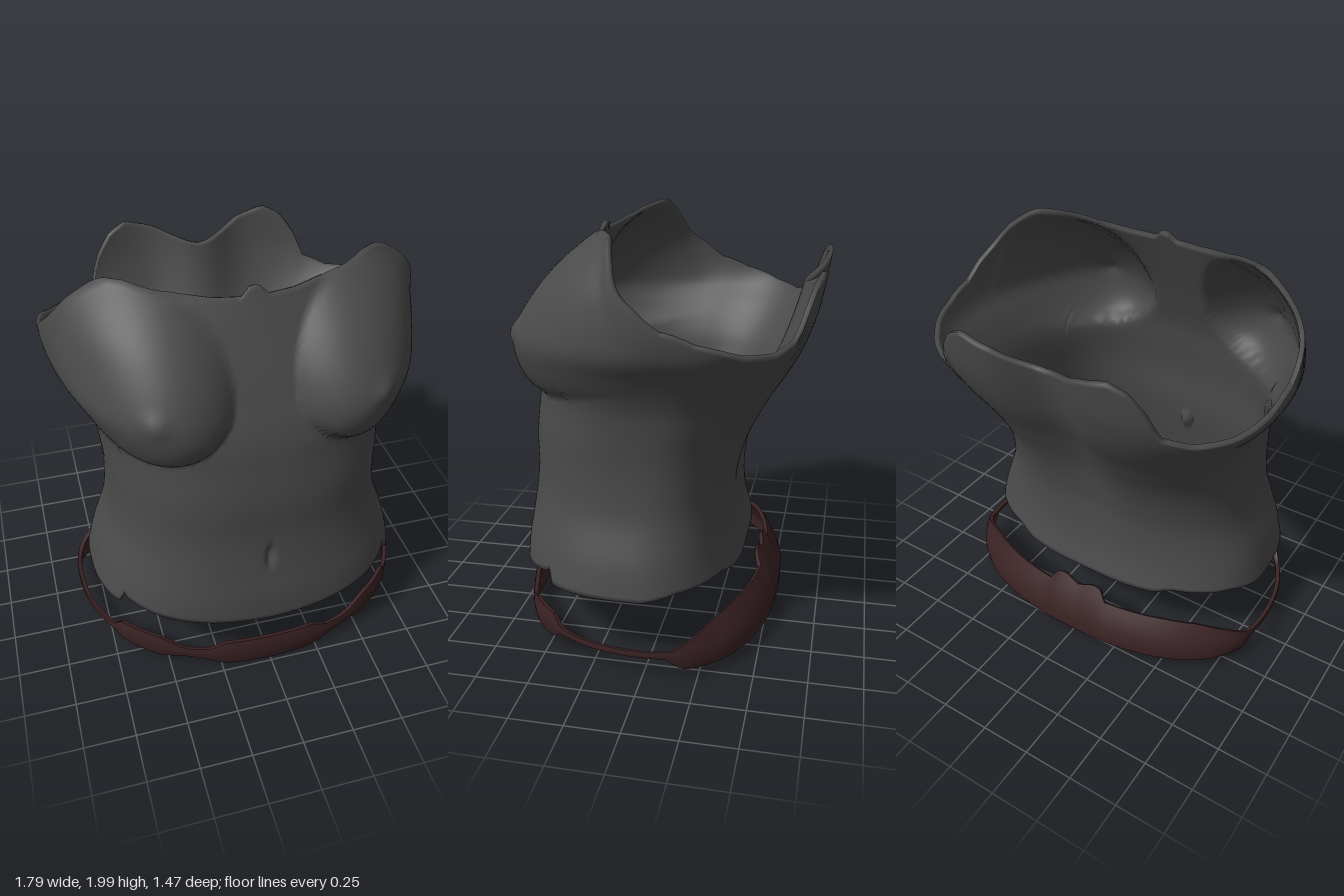
import * as THREE from 'three';
import { toCreasedNormals } from 'three/addons/utils/BufferGeometryUtils.js';

const DEG = Math.PI / 180;

// Interpolates [position, value] pairs, straight or with smooth tangents
function curve(pts, smooth = true) {
  const n = pts.length - 1;
  const slope = (i) => {
    const a = pts[Math.max(i - 1, 0)], b = pts[Math.min(i + 1, n)];
    return (b[1] - a[1]) / (b[0] - a[0]);
  };
  return (t) => {
    if (t <= pts[0][0]) return pts[0][1];
    if (t >= pts[n][0]) return pts[n][1];
    let i = 0;
    while (t > pts[i + 1][0]) i++;
    const [x0, y0] = pts[i], [x1, y1] = pts[i + 1], h = x1 - x0, s = (t - x0) / h;
    if (!smooth) return y0 + (y1 - y0) * s;
    const s2 = s * s, s3 = s2 * s;
    return y0 * (2 * s3 - 3 * s2 + 1) + h * slope(i) * (s3 - 2 * s2 + s)
      + y1 * (3 * s2 - 2 * s3) + h * slope(i + 1) * (s3 - s2);
  };
}

// Signed power, for squarish rounded cross-sections
const spow = (v, e) => Math.sign(v) * Math.pow(Math.abs(v), e);

// Grid of points closed around the body; optionally closed in the row direction too
function gridGeometry(rows, closeRows) {
  const cols = rows[0].length, pos = [], index = [];
  rows.forEach((r) => r.forEach((p) => pos.push(p.x, p.y, p.z)));
  const last = closeRows ? rows.length : rows.length - 1;
  for (let j = 0; j < last; j++) {
    const k = (j + 1) % rows.length;
    for (let i = 0; i < cols; i++) {
      const m = (i + 1) % cols;
      const a = j * cols + i, b = j * cols + m, c = k * cols + m, d = k * cols + i;
      index.push(a, b, c, a, c, d);
    }
  }
  const g = new THREE.BufferGeometry();
  g.setAttribute('position', new THREE.Float32BufferAttribute(pos, 3));
  g.setIndex(index);
  g.computeVertexNormals();
  return g;
}

// Wall with thickness made from an outer surface point(angle, v)
function wallGeometry(point, angles, rowCount, thickness) {
  const outer = [];
  for (let j = 0; j <= rowCount; j++) outer.push(angles.map((a) => point(a, j / rowCount)));
  const normals = gridGeometry(outer, false).attributes.normal;
  const inner = outer.map((row, j) => row.map((p, i) => {
    const n = new THREE.Vector3().fromBufferAttribute(normals, j * angles.length + i);
    return p.clone().addScaledVector(n, -thickness);
  }));
  return gridGeometry([...outer, ...inner.reverse()], true);
}

// Angles round the body, 0 at the front, closer together at front, sides and back
function ringAngles(count, cluster) {
  return Array.from({ length: count }, (_, i) => {
    const t = (i / count) * Math.PI * 2;
    return t - (cluster * Math.sin(4 * t)) / 4;
  });
}
const foldedDegrees = (a) => Math.acos(Math.max(-1, Math.min(1, Math.cos(a)))) / DEG;

// Torso outlines by height
const halfWidth = curve([[0.34, 0.805], [0.5, 0.765], [0.7, 0.695], [0.85, 0.675], [1, 0.675], [1.2, 0.7],
  [1.3, 0.735], [1.4, 0.79], [1.5, 0.86], [1.6, 0.89], [1.7, 0.89], [1.8, 0.87], [2, 0.82]]);
const frontZ = curve([[0.32, 0.735], [0.45, 0.725], [0.6, 0.7], [0.8, 0.675], [1, 0.67], [1.2, 0.645],
  [1.3, 0.63], [1.4, 0.6], [1.5, 0.56], [1.6, 0.52], [1.8, 0.43], [2, 0.34]]);
const backZ = curve([[0.34, -0.385], [0.5, -0.345], [0.65, -0.335], [0.8, -0.35], [1, -0.41], [1.2, -0.51],
  [1.4, -0.625], [1.6, -0.7], [1.82, -0.75]]);
const middleZ = curve([[0.34, 0.1], [1, 0.08], [1.2, 0], [1.5, -0.1], [1.6, -0.12], [1.8, 0], [2, 0]]);
const frontPower = curve([[0.4, 0.8], [1.5, 0.82], [1.75, 1], [2, 1.25]]);
const backPower = curve([[0.4, 0.82], [1, 0.8], [1.6, 0.7]]);

// Cut edges by angle from the front
const topEdge = curve([[0, 1.965], [3, 1.96], [6, 1.925], [16, 1.93], [34, 1.965], [45, 1.995], [52, 2], [56, 1.985],
  [67, 1.9], [78, 1.79], [85, 1.73], [90, 1.65], [96, 1.6], [116, 1.54], [135, 1.52], [148, 1.56],
  [152, 1.68], [157, 1.78], [163, 1.82], [172, 1.78], [180, 1.7]], false);
const bottomEdge = curve([[0, 0.32], [17, 0.34], [40, 0.375], [55, 0.41], [58, 0.43], [60, 0.36], [97, 0.36],
  [116, 0.39], [148, 0.39], [156, 0.36], [180, 0.345]], false);

const bell = (d) => Math.exp(-d * d);

function torsoPoint(a, v) {
  const deg = foldedDegrees(a);
  const y = THREE.MathUtils.lerp(bottomEdge(deg), topEdge(deg), v);
  const s = Math.sin(a), c = Math.cos(a), isFront = c > 0;
  const e = isFront ? frontPower(y) : backPower(y);
  const mid = middleZ(y);
  const x = halfWidth(y) * spow(s, e);
  let z = mid + (isFront ? frontZ(y) - mid : mid - backZ(y)) * spow(c, e);
  if (isFront) {
    // Rounded chest forms with a crease below, plus a small raised boss
    const ax = Math.abs(x), dx = (ax - 0.5) / 0.36;
    const dy = (y - 1.54) / (y > 1.54 ? 0.45 : 0.295);
    const q = 1 - dx * dx - dy * dy;
    if (q > 0) z += 0.185 * Math.pow(q, y > 1.54 ? 0.95 : 0.6 + 0.35 * Math.max(0, 1 + dy));
    z += 0.022 * bell(Math.hypot(ax - 0.51, y - 1.53) / 0.045);
    // Navel
    z -= 0.035 * bell(Math.hypot(x / 0.018, (y - 0.69) / 0.05));
  } else {
    // Spine groove
    const depth = 0.085 * THREE.MathUtils.smoothstep(y, 0.5, 1.6) + 0.012;
    z += depth * bell(x / 0.17);
  }
  return new THREE.Vector3(x, y, z);
}

// Belt edges by angle from the front
const beltTop = curve([[0, 0.17], [13, 0.17], [18, 0.13], [27, 0.13], [35, 0.19], [53, 0.21], [58, 0.15], [90, 0.15],
  [102, 0.155], [108, 0.18], [115, 0.21], [130, 0.25], [145, 0.265], [171, 0.265], [172.5, 0.33], [176, 0.325],
  [180, 0.3]], false);
const beltBottom = curve([[0, 0.01], [13, 0.02], [20, 0.06], [27, 0.08], [36, 0.06], [53, 0.08], [58, 0.12],
  [99, 0.12], [107, 0.06], [130, 0.055], [180, 0.06]], false);

function beltPoint(a, v) {
  const deg = foldedDegrees(a), lo = beltBottom(deg), hi = beltTop(deg);
  const y = THREE.MathUtils.lerp(lo, hi, v);
  const s = Math.sin(a), c = Math.cos(a);
  // The wide back part leans in towards the top
  const lean = 0.42 * Math.max(0, y - 0.09) * THREE.MathUtils.smoothstep(deg, 100, 130);
  const bulge = 0.08 * (hi - lo) * (4 * v * (1 - v));
  return new THREE.Vector3(
    (0.865 - lean + bulge) * spow(s, 0.88), y,
    ((c > 0 ? 0.73 : 0.545) - lean + bulge) * spow(c, 0.88));
}

export function createModel() {
  const model = new THREE.Group();
  const shellGrey = new THREE.MeshStandardMaterial({ color: 0x4a4a4a });
  shellGrey.name = 'charcoal shell';
  const beltBrown = new THREE.MeshStandardMaterial({ color: 0x3a2224 });
  beltBrown.name = 'dark brown leather';

  const add = (name, geometry, material) => {
    const mesh = new THREE.Mesh(geometry, material);
    mesh.name = name;
    model.add(mesh);
    return mesh;
  };

  add('torsoShell', wallGeometry(torsoPoint, ringAngles(240, 0.7), 72, 0.022), shellGrey);
  add('belt', toCreasedNormals(wallGeometry(beltPoint, ringAngles(120, 0.4), 4, 0.022), 0.7), beltBrown);

  // Fastening at the back of the belt
  const loop = add('beltLoop', new THREE.BoxGeometry(0.09, 0.17, 0.025), beltBrown);
  loop.position.set(0, 0.19, -0.46);
  loop.rotation.x = 0.4;
  return model;
}
